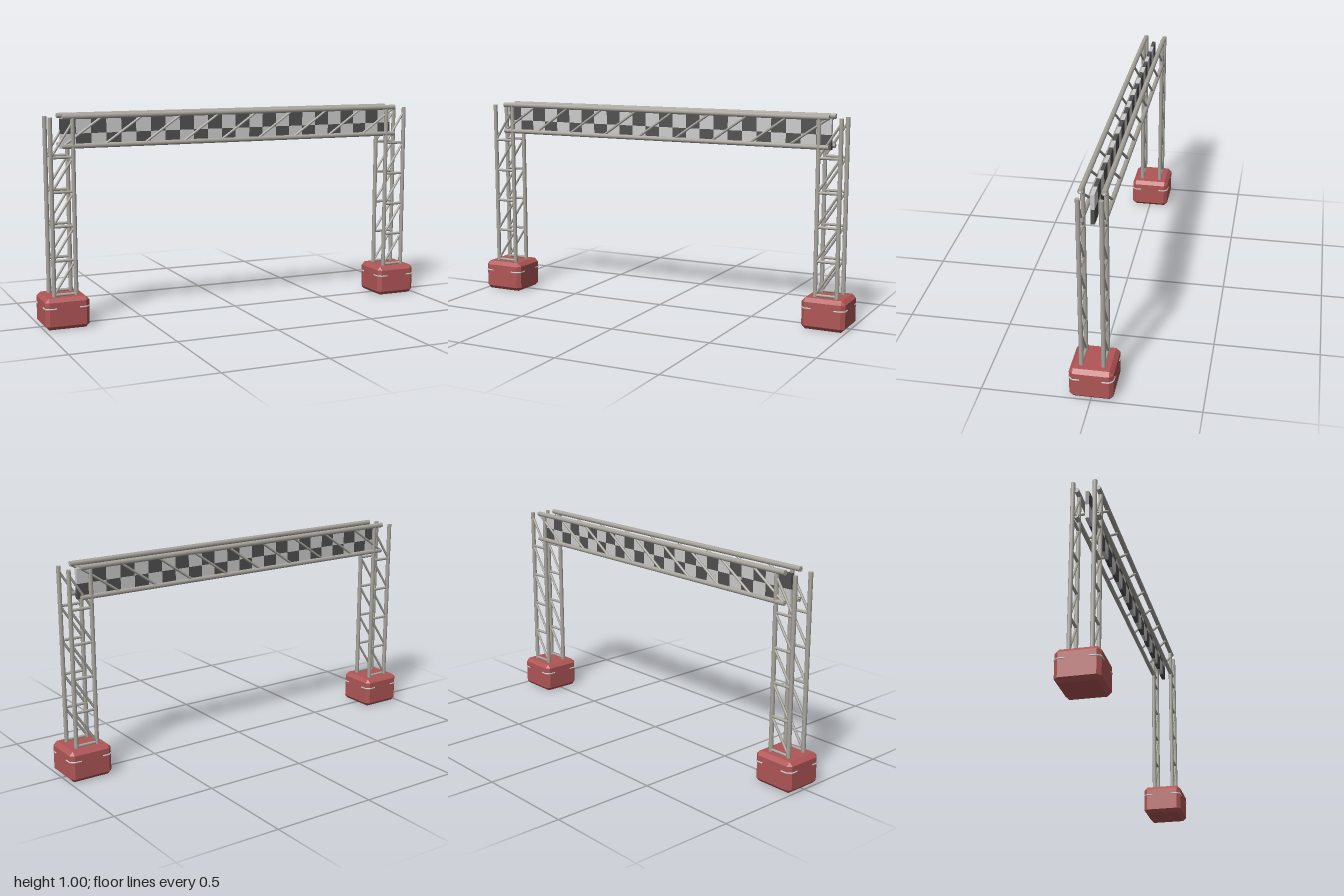
import * as THREE from 'three';
import { ConvexGeometry } from 'three/addons/geometries/ConvexGeometry.js';

const steel = new THREE.MeshStandardMaterial({ color: 0xaaa79f });
const light = new THREE.MeshStandardMaterial({ color: 0xcccccc });
const dark = new THREE.MeshStandardMaterial({ color: 0x505050 });
const red = new THREE.MeshStandardMaterial({ color: 0xb05656, flatShading: true });

function add(parent, name, geometry, material) {
  const mesh = new THREE.Mesh(geometry, material);
  mesh.name = name;
  parent.add(mesh);
  return mesh;
}

// Round bar between two points
function bar(parent, name, a, b, radius) {
  const from = new THREE.Vector3(...a), to = new THREE.Vector3(...b);
  const dir = to.clone().sub(from);
  const mesh = add(parent, name, new THREE.CylinderGeometry(radius, radius, dir.length(), 8), steel);
  mesh.position.copy(from).add(to).multiplyScalar(0.5);
  mesh.quaternion.setFromUnitVectors(new THREE.Vector3(0, 1, 0), dir.normalize());
}

// Box with every edge cut at 45 degrees
function chamferedBox(w, h, d, c) {
  const points = [];
  for (const sx of [-1, 1]) for (const sy of [-1, 1]) for (const sz of [-1, 1]) {
    const x = w / 2, y = h / 2, z = d / 2;
    for (const [px, py, pz] of [[x, y - c, z - c], [x - c, y, z - c], [x - c, y - c, z]])
      points.push(new THREE.Vector3(sx * px, sy * py, sz * pz));
  }
  return new ConvexGeometry(points);
}

function createBase(x) {
  const base = new THREE.Group();
  base.name = 'base';
  base.position.x = x;
  add(base, 'ballastBox', chamferedBox(0.212, 0.15, 0.2, 0.018), red).position.y = 0.075;
  // Straps wrapped round the four upright corners
  for (const sx of [-1, 1]) for (const sz of [-1, 1]) {
    const path = new THREE.CurvePath();
    const p = [[0.055, 0.1], [0.089, 0.1], [0.106, 0.083], [0.106, 0.05]]
      .map(([px, pz]) => new THREE.Vector3(sx * px, 0.102, sz * pz));
    for (let i = 0; i < 3; i++) path.add(new THREE.LineCurve3(p[i], p[i + 1]));
    add(base, 'cornerStrap', new THREE.TubeGeometry(path, 12, 0.004, 6), light);
  }
  return base;
}

// Two flat ladder frames per leg, one at the front and one at the back
function createLeg(x) {
  const leg = new THREE.Group();
  leg.name = 'leg';
  const half = 0.053, step = 0.161, bottom = 0.157;
  for (const z of [-0.05, 0.05]) {
    for (const s of [-1, 1]) bar(leg, 'post', [x + s * half, 0.14, z], [x + s * half, 0.985, z], 0.0105);
    for (let i = 0; i < 5; i++) {
      const y = bottom + i * step;
      bar(leg, 'rung', [x - half, y, z], [x + half, y, z], 0.007);
      bar(leg, 'legBrace', [x - half, y, z], [x + half, y + step, z], 0.006);
    }
  }
  return leg;
}

// Overhead beam: two chords with slanted braces, front and back
function createBeam() {
  const beam = new THREE.Group();
  beam.name = 'beam';
  const end = 0.886, low = 0.851, high = 0.987, bays = 9, run = 2 * end / bays;
  for (const z of [-0.05, 0.05]) {
    bar(beam, 'topChord', [-end, high, z], [end, high, z], 0.0125);
    bar(beam, 'bottomChord', [-end, low, z], [end, low, z], 0.0115);
    for (let i = 0; i < bays; i++) {
      const x = -end + i * run;
      bar(beam, 'beamBrace', [x, low, z], [x + run, high, z], 0.006);
    }
  }
  return beam;
}

// Checkered panel hanging between the frames
function createBanner() {
  const banner = new THREE.Group();
  banner.name = 'banner';
  const columns = 24, w = 1.768 / columns, h = 0.07;
  const square = new THREE.BoxGeometry(w, h, 0.018);
  for (let row = 0; row < 2; row++) for (let col = 0; col < columns; col++) {
    const mesh = add(banner, 'checker', square, (row + col) % 2 ? dark : light);
    mesh.position.set((col + 0.5 - columns / 2) * w, 0.87 + row * h, 0);
    if (row === 0) mesh.material = col % 2 ? dark : light;
    else mesh.material = col % 2 ? light : dark;
  }
  return banner;
}

export function createModel() {
  const model = new THREE.Group();
  model.name = 'finishArch';
  for (const x of [-0.89, 0.89]) model.add(createBase(x), createLeg(x));
  model.add(createBeam(), createBanner());
  return model;
}
